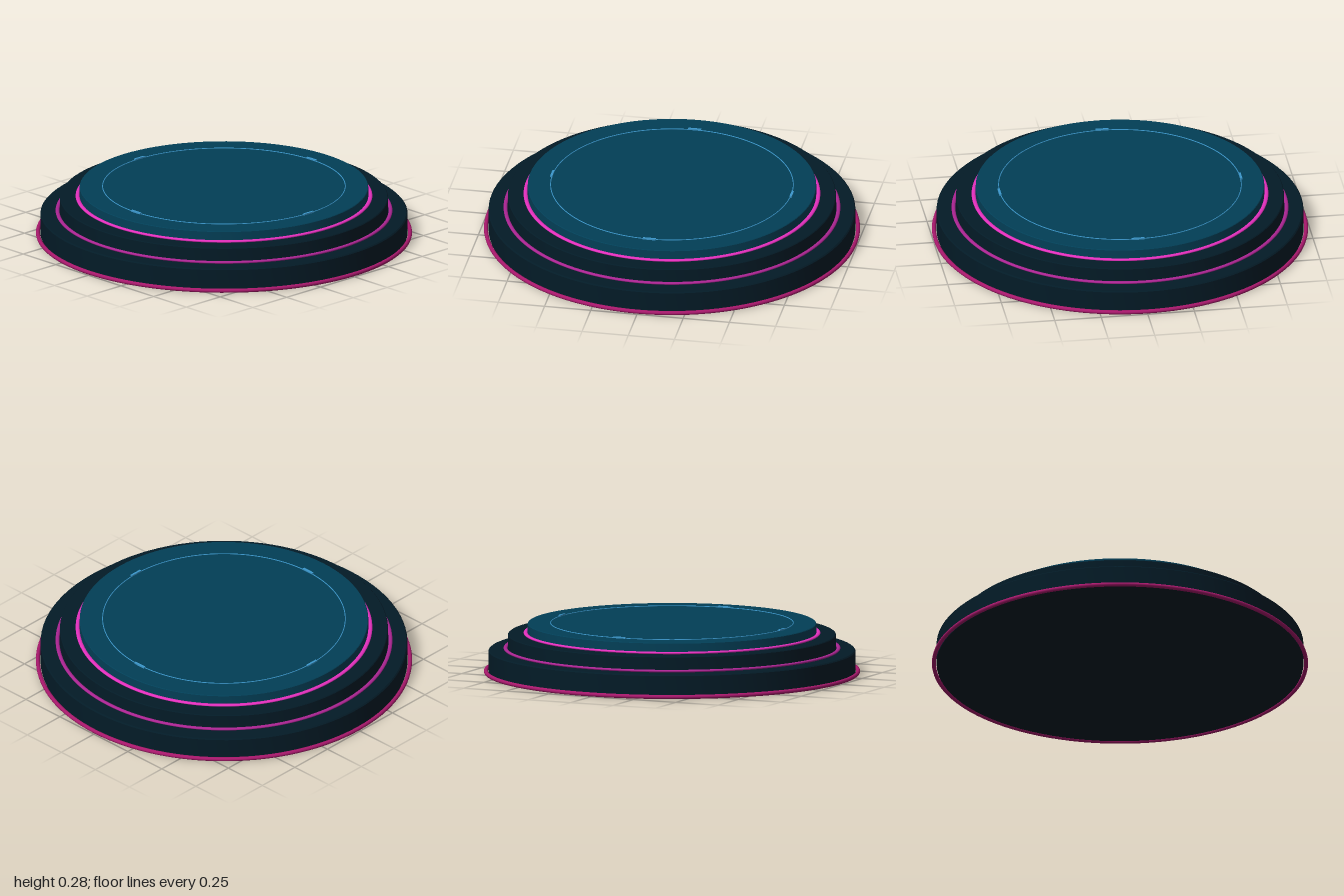
import * as THREE from 'three';
import { toCreasedNormals } from 'three/addons/utils/BufferGeometryUtils.js';

const material = (name, color) => {
  const m = new THREE.MeshStandardMaterial({ color });
  m.name = name;
  return m;
};

export function createModel() {
  const model = new THREE.Group();
  model.name = 'steppedPodium';

  const navy = material('dark navy', 0x031b27);
  const teal = material('deep teal', 0x023f57);
  const crimson = material('deep magenta', 0xa8186c);
  const purple = material('purple magenta', 0xaa2492);
  const pink = material('bright magenta', 0xe42fbe);
  const blue = material('light blue', 0x3a97cc);

  const add = (name, geometry, mat) => {
    const mesh = new THREE.Mesh(geometry, mat);
    mesh.name = name;
    model.add(mesh);
    return mesh;
  };

  // Round tier with a small bevel on its top edge
  const tier = (name, radius, y0, y1, bevel, mat) => {
    const profile = [
      [0, y0], [radius, y0], [radius, y1 - bevel], [radius - bevel, y1], [0, y1],
    ].map(([x, y]) => new THREE.Vector2(x, y));
    add(name, toCreasedNormals(new THREE.LatheGeometry(profile, 96), 0.5), mat);
  };
  tier('lowerTier', 0.975, 0.008, 0.128, 0.006, navy);
  tier('middleTier', 0.872, 0.128, 0.212, 0.004, navy);
  tier('upperTier', 0.767, 0.212, 0.27, 0.003, teal);

  // Glowing rings at the foot of each tier, plus the fine inlay ring on top
  const ring = (name, radius, width, height, y, mat) => {
    const geometry = new THREE.TorusGeometry(radius, width / 2, 12, 128)
      .rotateX(Math.PI / 2)
      .scale(1, height / width, 1);
    add(name, geometry, mat).position.y = y;
  };
  ring('lowerRing', 0.989, 0.022, 0.022, 0.012, crimson);
  ring('middleRing', 0.885, 0.021, 0.014, 0.136, purple);
  ring('upperRing', 0.778, 0.022, 0.013, 0.218, pink);
  ring('inlayRing', 0.645, 0.005, 0.005, 0.271, blue);

  // Four marks on the inlay ring
  for (let i = 0; i < 4; i++) {
    const angle = (i * Math.PI) / 2;
    const mark = add('inlayMark', new THREE.BoxGeometry(0.07, 0.009, 0.012), blue);
    mark.position.set(Math.sin(angle) * 0.647, 0.2735, Math.cos(angle) * 0.647);
    mark.rotation.y = angle;
  }
  return model;
}
